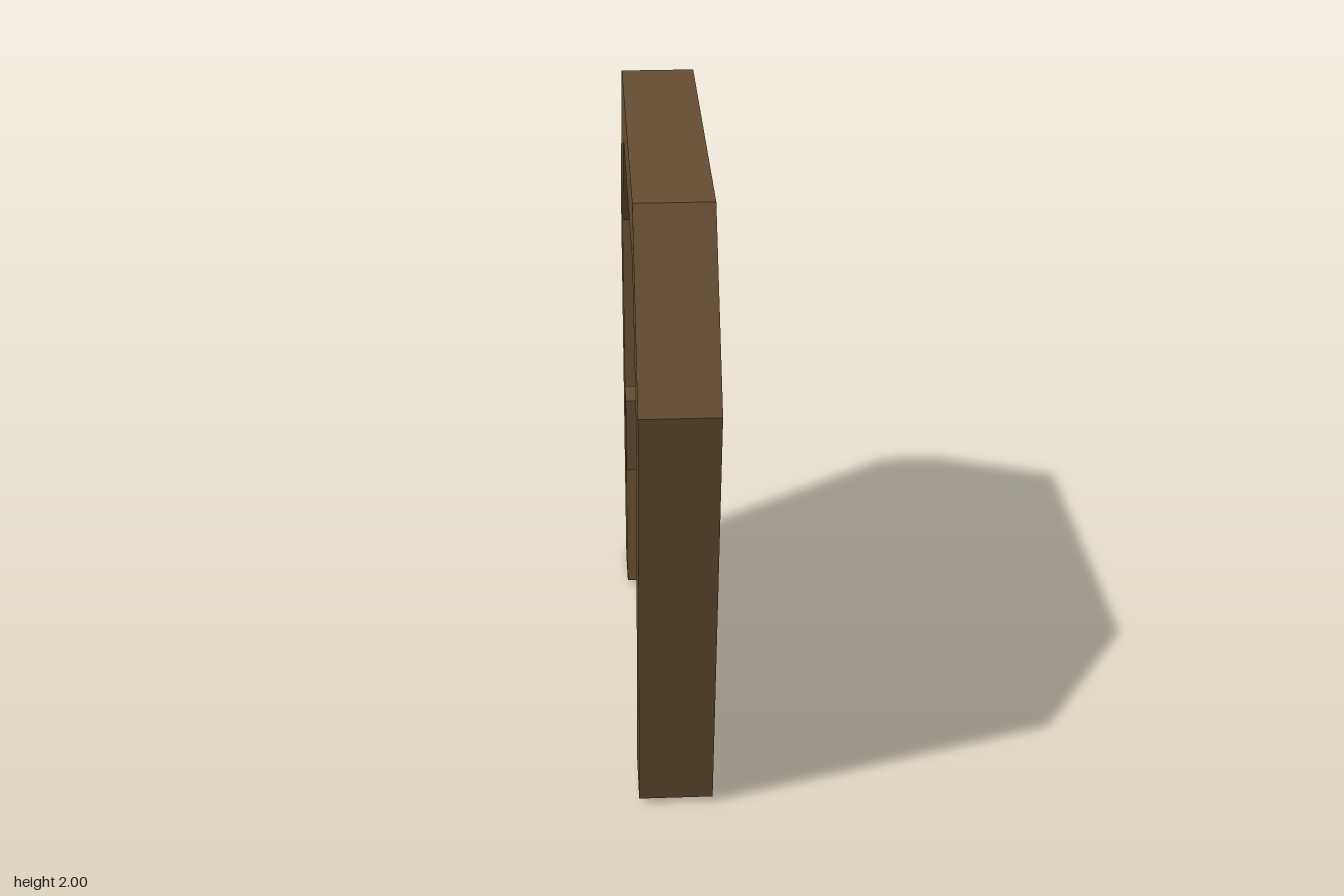
import * as THREE from 'three';

// Extrude a [z, y] outline along x, centred on x = 0
function slab(name, outline, thickness, color) {
  const shape = new THREE.Shape(outline.map(([z, y]) => new THREE.Vector2(-z, y)));
  const geometry = new THREE.ExtrudeGeometry(shape, { depth: thickness, bevelEnabled: false });
  geometry.translate(0, 0, -thickness / 2);
  geometry.rotateY(Math.PI / 2);
  const mesh = new THREE.Mesh(geometry, new THREE.MeshStandardMaterial({ color, flatShading: true }));
  mesh.name = name;
  return mesh;
}

export function createModel() {
  const group = new THREE.Group();
  group.name = 'door';
  const darkWood = 0x644d32;
  const lightWood = 0xcfa36b;

  // Crooked frame, open at the bottom: outer edge, then inner edge back
  const outer = [[0.745, 0.02], [0.915, 1.51], [0.55, 2], [-0.565, 2], [-0.912, 1.42], [-0.72, 0]];
  const inner = [[-0.505, 0.02], [-0.72, 1.4], [-0.43, 1.815], [0.5, 1.8], [0.745, 1.395], [0.555, 0.025]];
  group.add(slab('frame', [...outer, ...inner], 0.236, darkWood));

  // Thinner door panel, recessed on both sides
  const panel = [[0.53, 0.02], [0.765, 1.4], [0.485, 1.797], [-0.445, 1.797], [-0.73, 1.4], [-0.495, 0.02]];
  group.add(slab('doorPanel', panel, 0.16, lightWood));

  // A handle on each face, seated in the panel
  for (const side of [1, -1]) {
    const handle = new THREE.Mesh(
      new THREE.BoxGeometry(0.055, 0.27, 0.107),
      new THREE.MeshStandardMaterial({ color: darkWood, flatShading: true })
    );
    handle.name = side > 0 ? 'leftHandle' : 'rightHandle';
    handle.position.set(side * 0.0985, 0.835, -0.229);
    group.add(handle);
  }
  return group;
}
